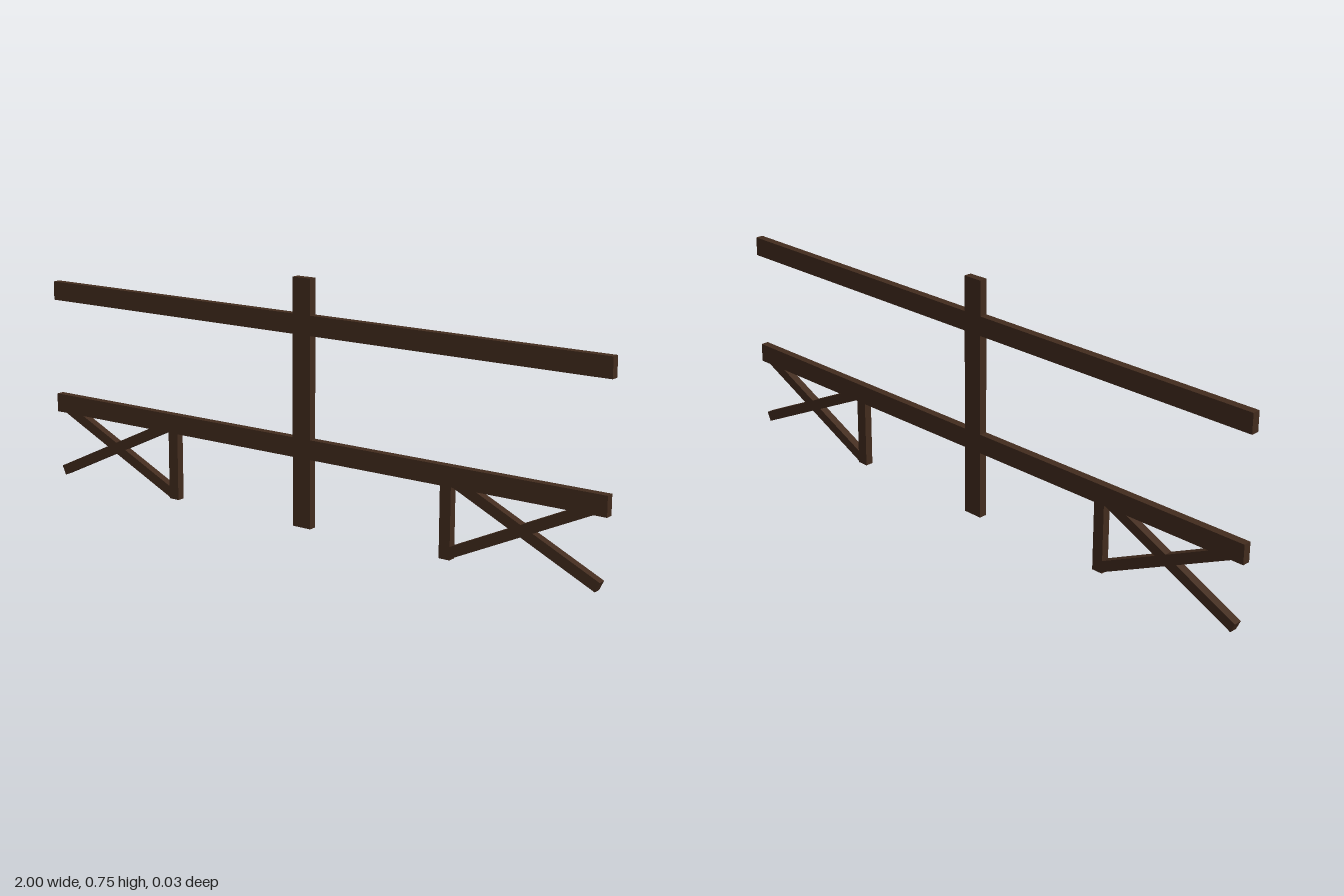
import * as THREE from 'three';

const DEPTH = 0.025;

export function createModel() {
  const model = new THREE.Group();
  model.name = 'railFence';
  const wood = new THREE.MeshStandardMaterial({ color: 0x432c1e });

  // One squared timber, centred at (x, y) and turned in the fence plane
  function beam(name, width, height, x, y, angle = 0) {
    const mesh = new THREE.Mesh(new THREE.BoxGeometry(width, height, DEPTH), wood);
    mesh.name = name;
    mesh.position.set(x, y, 0);
    mesh.rotation.z = angle;
    model.add(mesh);
  }

  // Central post and the two long rails
  beam('centrePost', 0.064, 0.752, 0, 0.376);
  beam('upperRail', 2, 0.06, 0, 0.614);
  beam('lowerRail', 2, 0.06, 0, 0.243);

  // Short leg and crossed braces under each end
  const tilt = Math.atan2(0.224, 0.474);
  for (const [side, label] of [[1, 'left'], [-1, 'right']]) {
    beam(label + 'Leg', 0.036, 0.24, side * 0.501, 0.12);
    beam(label + 'BraceRising', 0.524, 0.032, side * 0.743, 0.128, tilt);
    beam(label + 'BraceFalling', 0.524, 0.032, side * 0.743, 0.128, -tilt);
  }
  return model;
}
